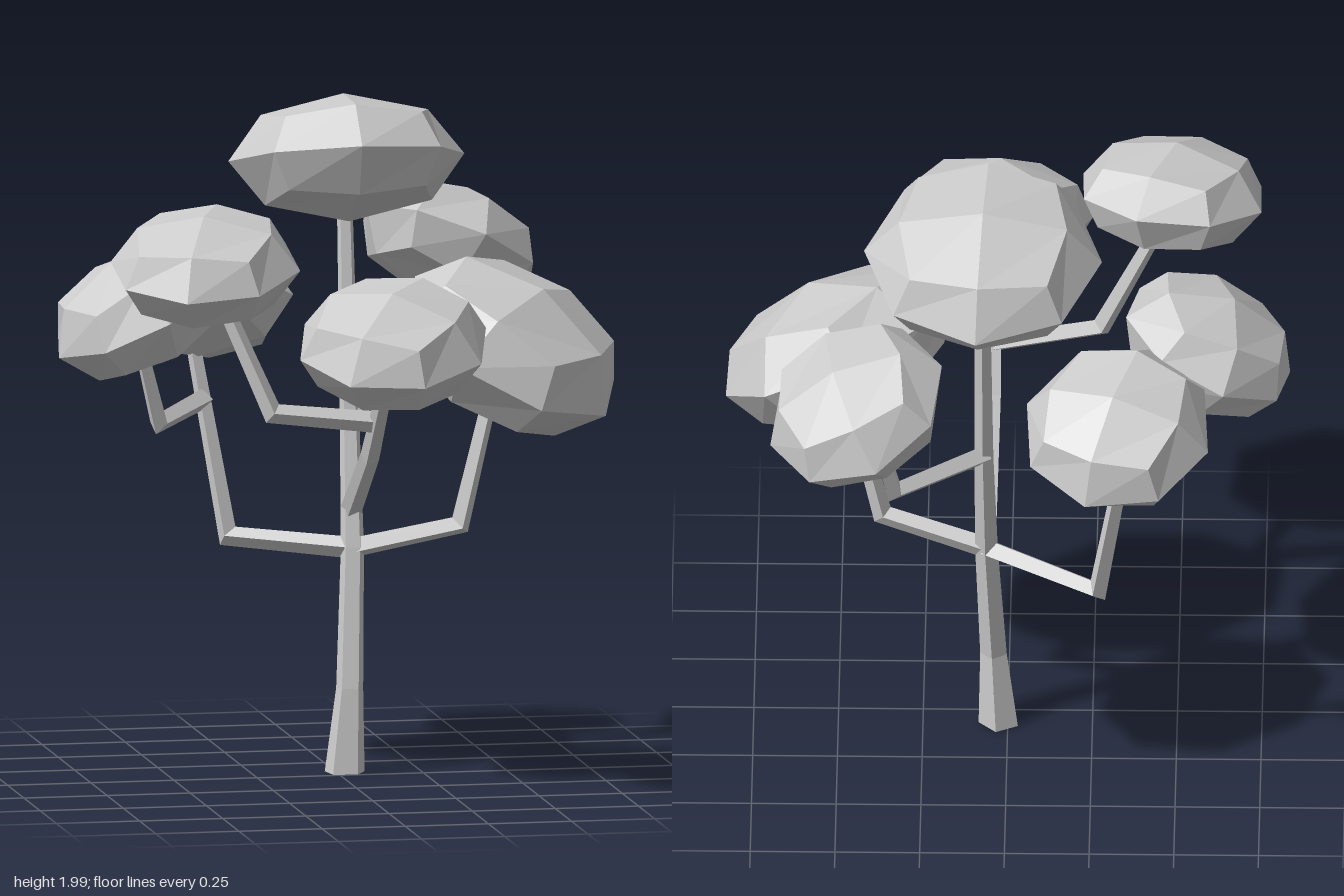
import * as THREE from 'three';

const material = new THREE.MeshStandardMaterial({ color: 0xcccccc, flatShading: true });
const V = (p) => new THREE.Vector3(...p);

// Tapered, mitred limb swept through a few points
function limb(name, path, radii, sides) {
  const pts = path.map(V);
  const dirs = pts.slice(1).map((p, i) => p.clone().sub(pts[i]).normalize());
  const u = new THREE.Vector3(1, 0, 1).cross(dirs[0]).normalize();
  const pos = [], idx = [], last = pts.length - 1;
  pts.forEach((p, i) => {
    const d = dirs[Math.max(i - 1, 0)], next = dirs[Math.min(i, last - 1)];
    const n = d.clone().add(next).normalize();
    const v = d.clone().cross(u);
    for (let k = 0; k < sides; k++) {
      const a = (k / sides) * Math.PI * 2;
      const o = u.clone().multiplyScalar(Math.cos(a) * radii[i]).addScaledVector(v, Math.sin(a) * radii[i]);
      o.addScaledVector(d, -o.dot(n) / d.dot(n)).add(p);
      pos.push(o.x, i === 0 && p.y === 0 ? 0 : o.y, o.z);
      if (i < last) {
        const q = i * sides + k, r = i * sides + ((k + 1) % sides);
        idx.push(q, r, r + sides, q, r + sides, q + sides);
      }
    }
    u.applyQuaternion(new THREE.Quaternion().setFromUnitVectors(d, next));
  });
  // end caps
  for (let k = 1; k < sides - 1; k++) {
    idx.push(0, k + 1, k, last * sides, last * sides + k, last * sides + k + 1);
  }
  let geo = new THREE.BufferGeometry();
  geo.setAttribute('position', new THREE.Float32BufferAttribute(pos, 3));
  geo.setIndex(idx);
  geo = geo.toNonIndexed();
  geo.computeVertexNormals();
  const mesh = new THREE.Mesh(geo, material);
  mesh.name = name;
  return mesh;
}

// Flattened sphere made from a subdivided cube, leaning along an axis
function crown(name, centre, radius, height, axis, yaw) {
  let geo = new THREE.BoxGeometry(2, 2, 2, 2, 2, 2);
  const pos = geo.attributes.position, p = new THREE.Vector3();
  for (let i = 0; i < pos.count; i++) {
    p.fromBufferAttribute(pos, i).normalize();
    pos.setXYZ(i, p.x * radius, p.y * height, p.z * radius);
  }
  geo = geo.toNonIndexed();
  geo.computeVertexNormals();
  const mesh = new THREE.Mesh(geo, material);
  const up = new THREE.Vector3(0, 1, 0);
  mesh.quaternion.setFromUnitVectors(up, V(axis).normalize())
    .multiply(new THREE.Quaternion().setFromAxisAngle(up, THREE.MathUtils.degToRad(yaw)));
  mesh.position.copy(V(centre));
  mesh.name = name;
  return mesh;
}

export function createModel() {
  const tree = new THREE.Group();
  tree.name = 'tree';

  // Trunk
  tree.add(limb('trunk',
    [[0.025, 0, -0.057], [0.04, 0.25, -0.057], [0.06, 0.66, -0.118], [0.067, 1.05, -0.2], [0.07, 1.68, -0.29]],
    [0.062, 0.042, 0.036, 0.03, 0.024], 5));

  // Branches
  const branches = {
    frontBranch: [[0.06, 0.77, -0.14], [0.05, 0.98, 0.2], [0.045, 1.3, 0.53]],
    frontRightBranch: [[0.05, 1.1, 0.31], [-0.27, 1.14, 0.34], [-0.43, 1.52, 0.27]],
    backRightBranch: [[0.06, 0.66, -0.118], [-0.27, 0.67, -0.35], [-0.36, 1.27, -0.46]],
    rightBranch: [[-0.33, 1.07, -0.42], [-0.51, 1.04, -0.18], [-0.58, 1.3, -0.13]],
    leftBranch: [[0.06, 0.66, -0.118], [0.37, 0.73, -0.05], [0.48, 1.2, -0.04]],
    backLeftBranch: [[0.067, 1.05, -0.2], [0.33, 1.08, -0.44], [0.39, 1.4, -0.54]],
  };
  for (const [name, path] of Object.entries(branches)) {
    tree.add(limb(name, path, [0.032, 0.029, 0.022], 4));
  }

  // Leaf crowns: centre, radius, half height, lean, turn
  const crowns = [
    ['topCrown', [0.07, 1.803, -0.265], 0.352, 0.19, [0, 1, -0.25], -3],
    ['frontCrown', [0.045, 1.375, 0.583], 0.29, 0.17, [-0.08, 1, 0.36], -37],
    ['frontRightCrown', [-0.48, 1.592, 0.382], 0.285, 0.16, [-0.08, 1, 0.25], -22],
    ['rightCrown', [-0.592, 1.385, -0.105], 0.275, 0.175, [-0.5, 1, 0.08], 10],
    ['leftCrown', [0.505, 1.272, 0.035], 0.36, 0.21, [0.48, 1, 0.4], -35],
    ['backLeftCrown', [0.44, 1.49, -0.592], 0.283, 0.175, [0.45, 1, -0.33], 10],
    ['backRightCrown', [-0.33, 1.355, -0.502], 0.285, 0.175, [0.08, 1, -0.45], -20],
  ];
  for (const c of crowns) tree.add(crown(...c));

  return tree;
}
